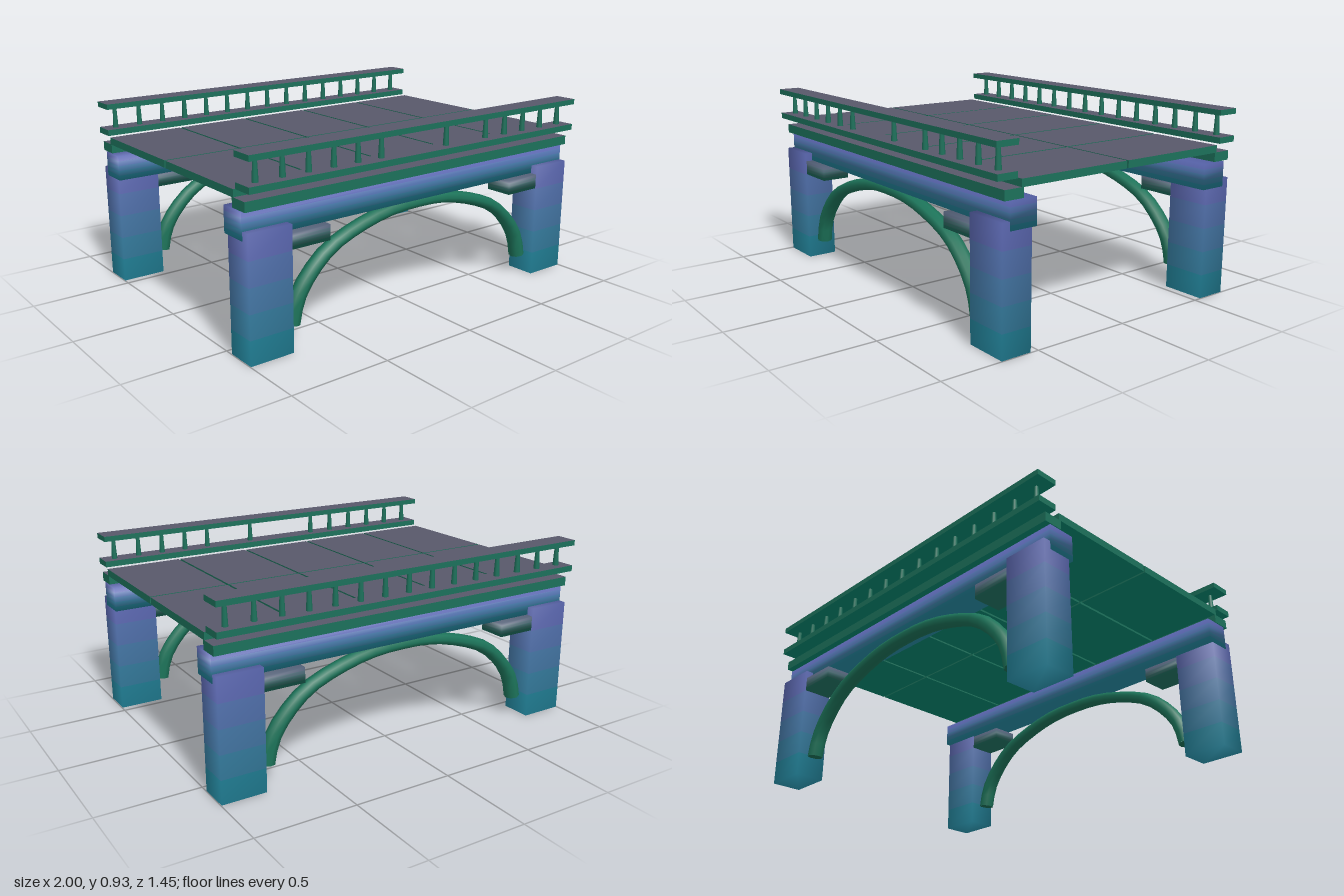
import * as THREE from 'three';

const paint = (color) => new THREE.MeshStandardMaterial({ color });

// Five shades running from the top of a part to its foot
const shades = (top, foot) => [0, 1, 2, 3, 4].map((i) =>
  paint(new THREE.Color(top).lerp(new THREE.Color(foot), 0.1 + i * 0.2)));

const topGrey = paint(0x58586a);
const sideGreen = paint(0x1c715b);
const underGreen = paint(0x008a71);
const archGreen = paint(0x1c7359);
const slabFaces = [sideGreen, sideGreen, topGrey, underGreen, sideGreen, sideGreen];
const stoneShades = shades(0x5e61b1, 0x148b9d);
const corbelShades = shades(0x565c78, 0x107560);

function addMesh(parent, name, geometry, material) {
  const mesh = new THREE.Mesh(geometry, material);
  mesh.name = name;
  parent.add(mesh);
  return mesh;
}

// Flat box given by its limits, with its own colour on top and underneath
function addSlab(parent, name, [x0, x1], [y0, y1], [z0, z1]) {
  const geometry = new THREE.BoxGeometry(x1 - x0, y1 - y0, z1 - z0);
  geometry.translate((x0 + x1) / 2, (y0 + y1) / 2, (z0 + z1) / 2);
  addMesh(parent, name, geometry, slabFaces);
}

// Box with normals softened across its edges and shaded in level bands
function addSoftBox(parent, name, [x0, x1], [y0, y1], [z0, z1], materials) {
  const w = x1 - x0, h = y1 - y0, d = z1 - z0;
  const bands = materials.length;
  const geometry = new THREE.BoxGeometry(w, h, d, 1, bands, 1);
  const { position, normal } = geometry.attributes;
  for (let i = 0; i < position.count; i++) {
    const n = new THREE.Vector3().fromBufferAttribute(position, i);
    n.divide(new THREE.Vector3(w, h, d)).multiply(new THREE.Vector3(h * d, w * d, w * h)).normalize();
    normal.setXYZ(i, n.x, n.y, n.z);
  }
  geometry.clearGroups();
  const sideRows = materials.map((_, i) => i);
  [...sideRows, ...sideRows, 0, bands - 1, ...sideRows, ...sideRows]
    .forEach((band, row) => geometry.addGroup(row * 6, 6, band));
  geometry.translate((x0 + x1) / 2, (y0 + y1) / 2, (z0 + z1) / 2);
  addMesh(parent, name, geometry, materials);
}

// A range of x or z, mirrored for the opposite side
const mirror = ([a, b], s) => (s > 0 ? [a, b] : [-b, -a]);

// Arched rib: a tube flattened in y so that it thins toward the crown
function addArch(parent, z) {
  const squash = 0.75;
  const radius = 0.04;
  const half = [[0.735, 0.1], [0.709, 0.206], [0.642, 0.308], [0.519, 0.415], [0.337, 0.487], [0.168, 0.524]];
  const outline = [...half.map(([x, y]) => [-x, y]), [0, 0.533], ...half.slice().reverse()];
  const curve = new THREE.CatmullRomCurve3(outline.map(([x, y]) => new THREE.Vector3(x, y / squash, z)));
  const arch = new THREE.Group();
  arch.name = 'arch';
  addMesh(arch, 'archRib', new THREE.TubeGeometry(curve, 24, radius, 8).scale(1, squash, 1), archGreen);
  for (const t of [0, 1]) {
    const outward = curve.getTangentAt(t).multiplyScalar(t ? 1 : -1);
    const turn = new THREE.Quaternion().setFromUnitVectors(new THREE.Vector3(0, 0, 1), outward);
    const end = curve.getPointAt(t);
    const cap = new THREE.CircleGeometry(radius, 8).applyQuaternion(turn);
    addMesh(arch, 'archEnd', cap.translate(end.x, end.y, end.z).scale(1, squash, 1), archGreen);
  }
  parent.add(arch);
}

export function createModel() {
  const bridge = new THREE.Group();
  bridge.name = 'bridge';
  const full = [-1, 1];

  for (const s of [1, -1]) {
    const side = new THREE.Group();
    side.name = s > 0 ? 'frontSide' : 'backSide';
    bridge.add(side);

    // Pillars and the corbels on their inner faces
    for (const m of [1, -1]) {
      addSoftBox(side, 'pillar', mirror([0.775, 0.997], m), [0, 0.592], mirror([0.54, 0.695], s), stoneShades);
      addSoftBox(side, 'corbel', mirror([0.571, 0.785], m), [0.476, 0.55], mirror([0.545, 0.69], s), corbelShades);
    }

    // Long beam, curb and arch
    addSoftBox(side, 'beam', full, [0.552, 0.677], mirror([0.517, 0.656], s), stoneShades);
    addSlab(side, 'curb', full, [0.681, 0.727], mirror([0.587, 0.685], s));
    addArch(side, s * 0.62);

    // Balustrade; a few balusters are missing at the front
    addSlab(side, 'lowerRail', full, [0.766, 0.796], mirror([0.618, 0.722], s));
    addSlab(side, 'handRail', full, [0.902, 0.929], mirror([0.613, 0.726], s));
    const missing = s > 0 ? [6, 7, 9] : [];
    for (let i = 0; i < 15; i++) {
      if (missing.includes(i)) continue;
      const baluster = addMesh(side, 'baluster', new THREE.CylinderGeometry(0.01, 0.015, 0.102, 8), sideGreen);
      baluster.position.set((i - 7) * 0.1337, 0.847, s * 0.668);
    }

    // Deck slabs with narrow joints
    for (let i = 0; i < 5; i++) {
      const x = -1 + i * 0.4;
      addSlab(side, 'deckSlab', [x + (i > 0 ? 0.006 : 0), x + 0.4 - (i < 4 ? 0.006 : 0)],
        [0.726, 0.762], mirror([0.005, 0.598], s));
    }
  }
  return bridge;
}
